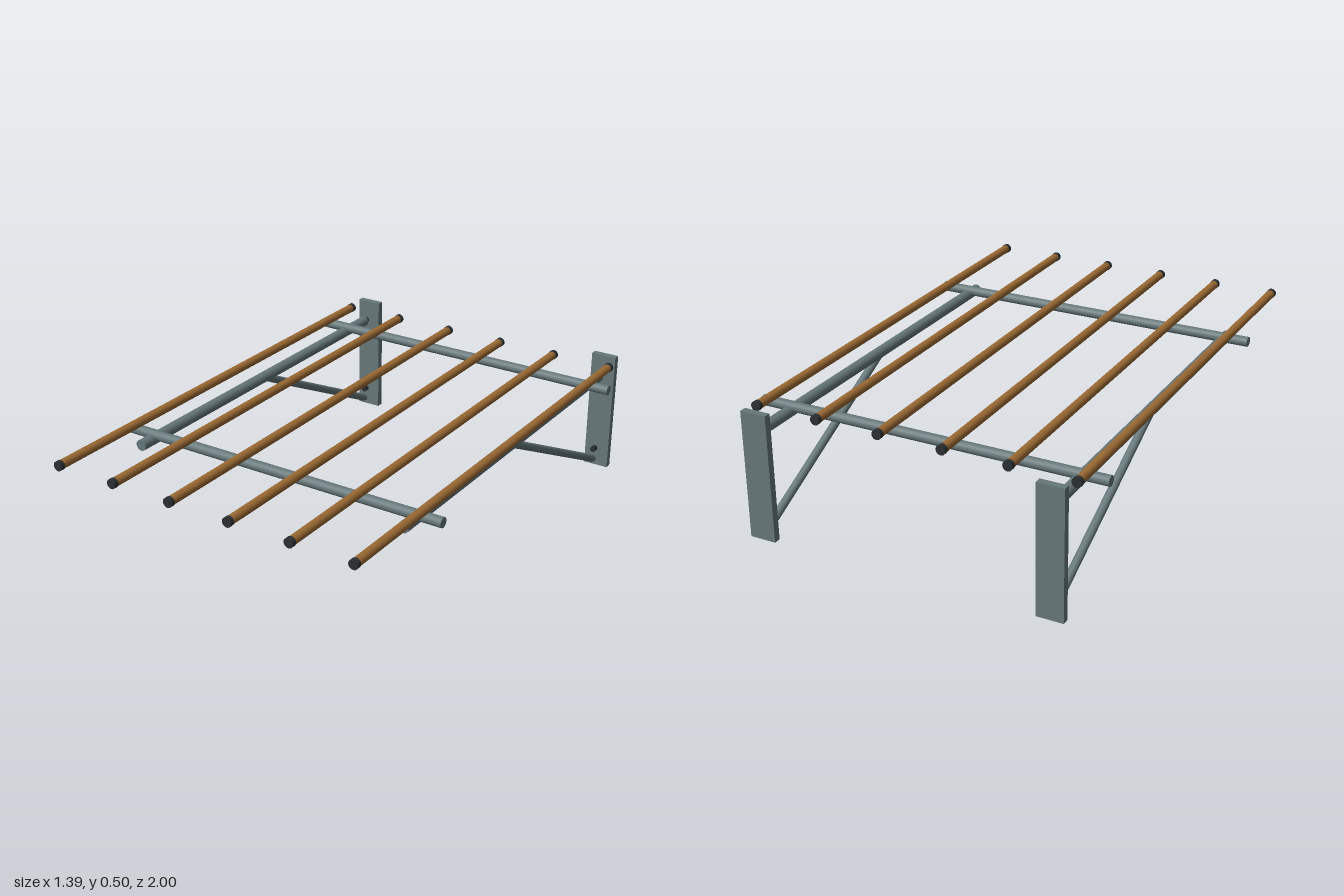
import * as THREE from 'three';

function material(name, color) {
  const m = new THREE.MeshStandardMaterial({ color });
  m.name = name;
  return m;
}

export function createModel() {
  const model = new THREE.Group();
  model.name = 'wallRack';
  const steel = material('greySteel', 0x66777a);
  const wood = material('brownWood', 0x9c6a33);
  const dark = material('darkRubber', 0x2a2f31);

  // Round bar between two points
  function rod(name, from, to, radius, mat) {
    const a = new THREE.Vector3(...from);
    const b = new THREE.Vector3(...to);
    const dir = b.clone().sub(a);
    const mesh = new THREE.Mesh(new THREE.CylinderGeometry(radius, radius, dir.length(), 20), mat);
    mesh.position.copy(a).add(b).multiplyScalar(0.5);
    mesh.quaternion.setFromUnitVectors(new THREE.Vector3(0, 1, 0), dir.normalize());
    mesh.name = name;
    model.add(mesh);
  }

  // Left and right wall brackets
  for (const [side, x] of [['left', 0.58], ['right', -0.58]]) {
    const plate = new THREE.Mesh(new THREE.BoxGeometry(0.105, 0.505, 0.028), steel);
    plate.position.set(x, 0.2525, -0.985);
    plate.name = side + 'WallPlate';
    model.add(plate);

    rod(side + 'Arm', [x, 0.425, 0.612], [x, 0.425, -0.932], 0.022, steel);
    rod(side + 'Brace', [x, 0.418, -0.182], [x, 0.045, -0.933], 0.016, steel);
    for (const y of [0.425, 0.088]) {
      rod(side + 'Bolt', [x, y, -0.93], [x, y, -0.952], 0.012, dark);
    }
  }

  // Cross bars resting on the arms
  rod('frontCrossBar', [-0.695, 0.445, 0.54], [0.695, 0.445, 0.54], 0.02, steel);
  rod('backCrossBar', [-0.695, 0.445, -0.78], [0.695, 0.445, -0.78], 0.02, steel);

  // Wooden rails with dark end caps
  for (const x of [-0.632, -0.38, -0.127, 0.127, 0.38, 0.632]) {
    rod('rail', [x, 0.486, 0.985], [x, 0.486, -0.897], 0.0175, wood);
    rod('frontRailCap', [x, 0.486, 1], [x, 0.486, 0.982], 0.019, dark);
    rod('backRailCap', [x, 0.486, -0.895], [x, 0.486, -0.913], 0.019, dark);
  }

  return model;
}
